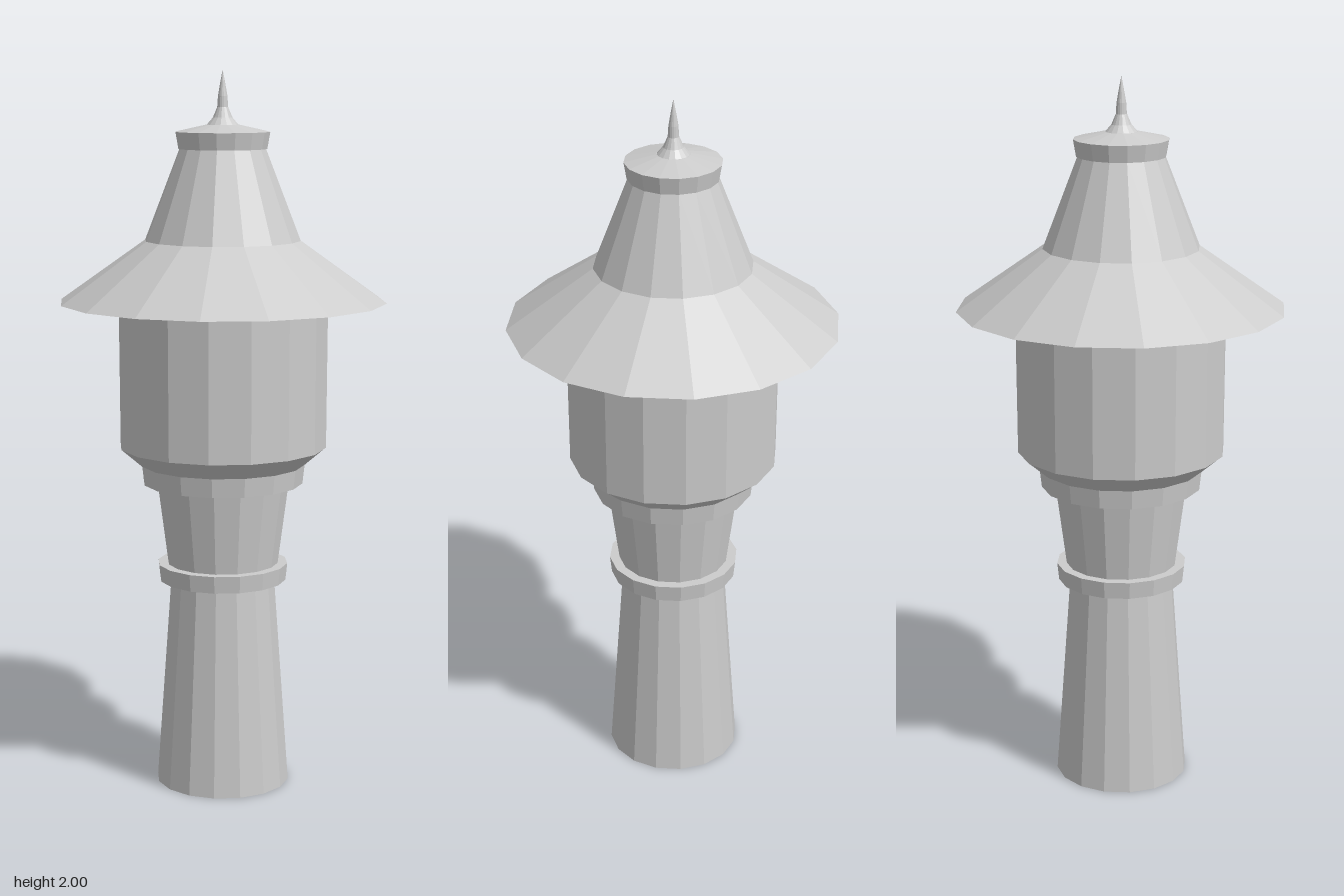
import * as THREE from 'three';

const SIDES = 16;

export function createModel() {
  const tower = new THREE.Group();
  tower.name = 'tower';
  const stone = new THREE.MeshStandardMaterial({ color: 0xcccccc });
  stone.name = 'light grey stone';

  // Turned faceted part from [radius, height] pairs, bottom to top
  function turned(name, profile) {
    const points = profile.map(([r, y]) => new THREE.Vector2(r, y));
    const geometry = new THREE.LatheGeometry(points, SIDES).toNonIndexed();
    geometry.computeVertexNormals();
    const mesh = new THREE.Mesh(geometry, stone);
    mesh.name = name;
    tower.add(mesh);
  }

  // Tapered shaft with its band
  turned('lowerShaft', [[0, 0], [0.188, 0], [0.146, 0.59], [0, 0.59]]);
  turned('shaftBand', [[0, 0.587], [0.178, 0.587], [0.183, 0.635], [0, 0.635]]);
  turned('upperShaft', [[0, 0.63], [0.155, 0.63], [0.186, 0.868], [0, 0.868]]);

  // Flared collar carrying the drum
  turned('collar', [[0, 0.865], [0.224, 0.865], [0.23, 0.918], [0.288, 0.968], [0, 0.968]]);
  turned('drum', [[0, 0.968], [0.289, 0.968], [0.291, 1.373], [0, 1.373]]);

  // Wide-brimmed roof, cap and needle
  turned('roof', [[0, 1.372], [0.452, 1.372], [0.215, 1.54], [0.118, 1.79], [0, 1.79]]);
  turned('roofCap', [[0, 1.788], [0.122, 1.788], [0.13, 1.834], [0.045, 1.853], [0, 1.853]]);
  turned('finial', [[0.046, 1.85], [0.027, 1.872], [0.015, 1.9], [0.013, 1.93], [0.006, 1.97], [0, 2]]);

  return tower;
}
